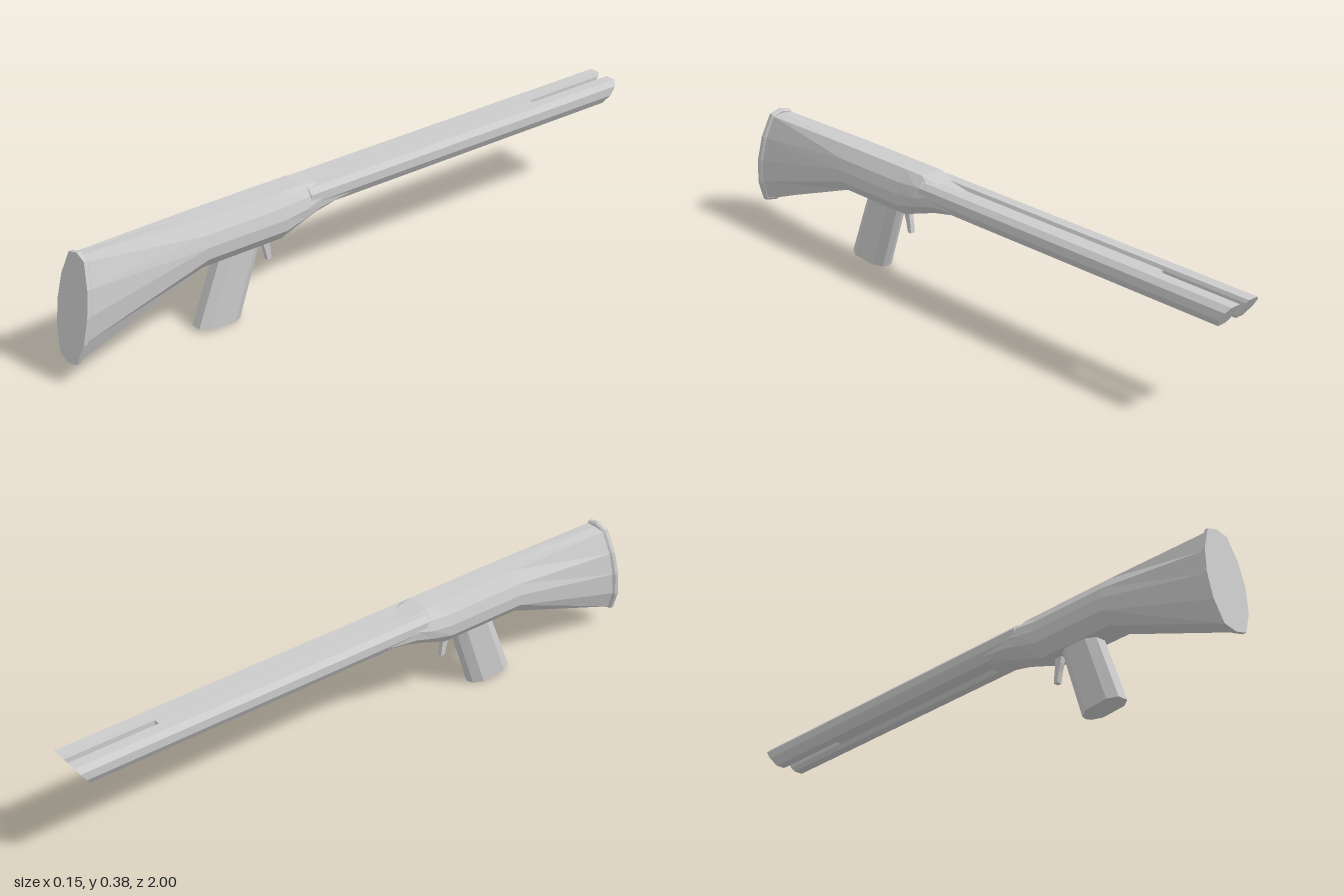
import * as THREE from 'three';

const material = new THREE.MeshStandardMaterial({ color: 0xcccccc, flatShading: true });

// Skin a list of equal-length rings of [x, y, z], capped at both ends.
function loft(name, rings, capAxes = [0, 1]) {
  const n = rings[0].length, tris = [];
  for (let r = 0; r < rings.length - 1; r++) {
    for (let i = 0; i < n; i++) {
      const j = (i + 1) % n;
      const [a, b, c, d] = [rings[r][i], rings[r][j], rings[r + 1][j], rings[r + 1][i]];
      tris.push([a, b, c], [a, c, d]);
    }
  }
  const cap = (ring, reverse) => {
    const outline = ring.map(p => new THREE.Vector2(p[capAxes[0]], p[capAxes[1]]));
    const cw = THREE.ShapeUtils.isClockWise(outline);
    for (const [a, b, c] of THREE.ShapeUtils.triangulateShape(cw ? outline.slice().reverse() : outline, [])) {
      const src = cw ? ring.slice().reverse() : ring;
      const t = [src[a], src[b], src[c]];
      tris.push(cw === reverse ? t : t.reverse());
    }
  };
  cap(rings[0], true);
  cap(rings[rings.length - 1], false);
  // Turn everything outwards according to the sign of the enclosed volume
  const v = p => new THREE.Vector3(...p);
  const volume = tris.reduce((s, [a, b, c]) => s + v(a).dot(v(b).cross(v(c))), 0);
  if (volume < 0) tris.forEach(t => t.reverse());
  const geometry = new THREE.BufferGeometry();
  geometry.setAttribute('position', new THREE.Float32BufferAttribute(tris.flat(2), 3));
  geometry.computeVertexNormals();
  const mesh = new THREE.Mesh(geometry, material);
  mesh.name = name;
  return mesh;
}

// Complete a half outline (top centre to bottom centre) with its mirror image.
const mirror = half => [...half, ...half.slice(1, -1).reverse().map(([x, y]) => [-x, y])];
const place = (outline, z) => outline.map(([x, y]) => [x, y, typeof z === 'function' ? z(y) : z]);

export function createModel() {
  const group = new THREE.Group();

  // Slanted butt plate with a bevelled outer rim
  const plate = mirror([[0, 0.385], [0.038, 0.374], [0.066, 0.30], [0.076, 0.22],
    [0.069, 0.138], [0.042, 0.068], [0, 0.057]]);
  const inset = s => plate.map(([x, y]) => [x * s, 0.221 + (y - 0.221) * (0.5 + s / 2)]);
  const slant = offset => y => 1 - offset - (y - 0.057) * 0.15;
  group.add(loft('buttPlate', [
    place(plate, slant(0)), place(plate, slant(0.012)), place(inset(0.93), slant(0.018)),
  ]));

  // Stock, receiver and tapering fore-end share one skin
  const receiver = [[0, 0.372], [0.037, 0.372], [0.063, 0.335], [0.073, 0.30],
    [0.07, 0.262], [0.04, 0.225], [0, 0.225]];
  const stockEnd = inset(0.92).map(([x, y]) => [x, Math.min(y, 0.372)]);
  group.add(loft('stockAndReceiver', [
    place(stockEnd, slant(0.014)),
    place(mirror(receiver), 0.57),
    place(mirror(receiver), 0.30),
    place(mirror([[0, 0.372], [0.037, 0.372], [0.063, 0.342], [0.073, 0.31],
      [0.068, 0.28], [0.037, 0.25], [0, 0.25]]), 0.225),
    place(mirror([[0, 0.361], [0.033, 0.361], [0.058, 0.35], [0.067, 0.325],
      [0.064, 0.295], [0.035, 0.267], [0, 0.267]]), 0.17),
    place(mirror([[0, 0.345], [0.03, 0.345], [0.05, 0.34], [0.062, 0.33],
      [0.06, 0.31], [0.035, 0.294], [0, 0.294]]), 0.04),
  ]));

  // Twin barrel: joined for most of its length, with a groove above and below
  const outer = [[0.018, 0.36], [0.052, 0.36], [0.067, 0.345], [0.067, 0.318], [0.05, 0.291], [0.022, 0.291]];
  const barrel = mirror([[0, 0.35], [0.013, 0.35], ...outer, [0.013, 0.304], [0, 0.304]]);
  group.add(loft('barrel', [place(barrel, 0.21), place(barrel, -0.7)]));

  // Separate muzzle prongs, cut off at a slant
  for (const side of [1, -1]) {
    const prong = [[0.013, 0.35], ...outer, [0.013, 0.304]].map(([x, y]) => [x * side, y]);
    group.add(loft(side > 0 ? 'leftMuzzle' : 'rightMuzzle', [
      place(prong, -0.7), place(prong, y => -1 + (0.36 - y) * 0.66),
    ]));
  }

  // Raked grip
  const gripHalf = [[0, -0.075], [0.018, -0.068], [0.035, -0.038], [0.035, 0.045], [0.017, 0.075], [0, 0.075]];
  const grip = mirror(gripHalf);
  group.add(loft('grip', [
    grip.map(([x, z]) => [x, 0.24, 0.42 + z * 0.95]),
    grip.map(([x, z]) => [x, (z + 0.075) * 0.08, 0.503 + z]),
  ], [0, 2]));

  // Curved trigger as a row of shrinking rectangles: [y, z, half depth]
  const triggerPath = [[0.24, 0.332, 0.014], [0.205, 0.33, 0.011], [0.18, 0.324, 0.009], [0.148, 0.319, 0.007]];
  group.add(loft('trigger', triggerPath.map(([y, z, d]) =>
    [[0.008, y, z - d], [0.008, y, z + d], [-0.008, y, z + d], [-0.008, y, z - d]]), [0, 2]));

  return group;
}
